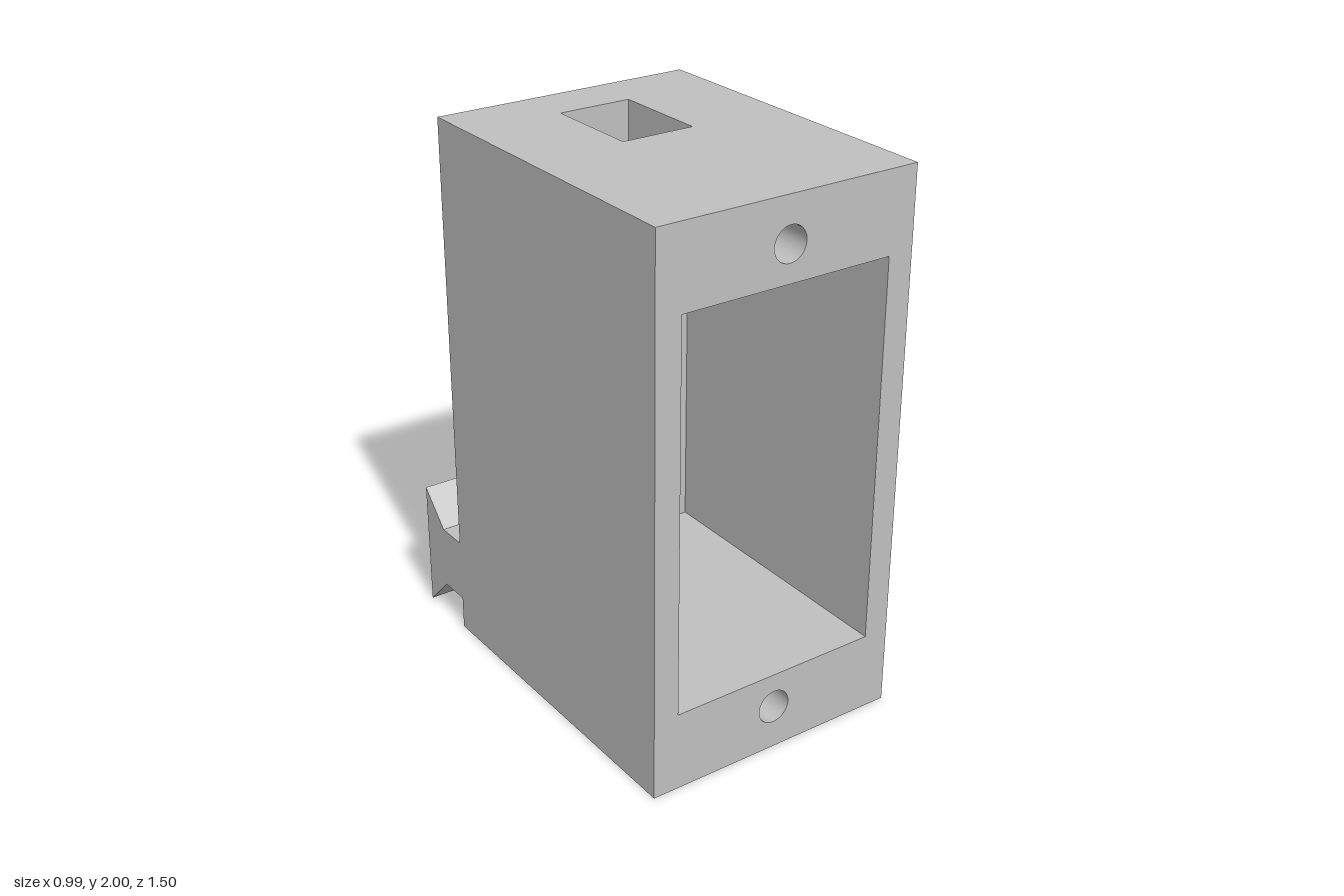
import * as THREE from 'three';

const X = 0.495, TOP = 2, FRONT = 0.75, BACK = -0.505;
const CAV = { x: 0.4, y0: 0.295, y1: 1.71, z0: -0.315 };
const SLOT = { x: 0.137, z0: -0.308, z1: 0.062 };
const SCREW = { r: 0.062, depth: 0.45, ys: [0.165, 1.84] };
const SOCKET = { r: 0.196, y: 1.335, depth: 0.16 };

const rectPoints = (x0, y0, x1, y1) => [[x0, y0], [x1, y0], [x1, y1], [x0, y1]].map(p => new THREE.Vector2(...p));
const rectHole = (...c) => new THREE.Path(rectPoints(...c));
const circleHole = (y, r) => new THREE.Path().absarc(0, y, r, 0, Math.PI * 2, true);

// Flat rectangular wall with holes
function panel(x0, y0, x1, y1, holes) {
  const shape = new THREE.Shape(rectPoints(x0, y0, x1, y1));
  shape.holes.push(...holes);
  return new THREE.ShapeGeometry(shape, 24);
}

// Turns a surface to face inward
function insideOut(g) {
  const index = Array.from(g.index.array);
  for (let i = 0; i < index.length; i += 3) [index[i], index[i + 1]] = [index[i + 1], index[i]];
  g.setIndex(index);
  const n = g.attributes.normal;
  for (let i = 0; i < n.array.length; i++) n.array[i] *= -1;
  return g;
}

// Box keeping only the listed faces (0..5 = +x -x +y -y +z -z)
function openBox(x, y0, y1, z0, z1, faces) {
  const g = new THREE.BoxGeometry(2 * x, y1 - y0, z1 - z0);
  const all = Array.from(g.index.array);
  g.setIndex(faces.flatMap(f => all.slice(f * 6, f * 6 + 6)));
  g.clearGroups();
  return g.translate(0, (y0 + y1) / 2, (z0 + z1) / 2);
}

export function createModel() {
  const model = new THREE.Group();
  model.name = 'mountingHousing';
  const grey = new THREE.MeshStandardMaterial({ color: 0xc0c0c0 });
  grey.name = 'plain grey';
  const add = (name, geometry) => {
    const mesh = new THREE.Mesh(geometry, grey);
    mesh.name = name;
    model.add(mesh);
    return mesh;
  };

  // Outer walls
  add('sidesAndBase', openBox(X, 0, TOP, BACK, FRONT, [0, 1, 3]));
  add('frontFace', panel(-X, 0, X, TOP, [
    rectHole(-CAV.x, CAV.y0, CAV.x, CAV.y1),
    ...SCREW.ys.map(y => circleHole(y, SCREW.r)),
  ]).translate(0, 0, FRONT));
  add('backFace', panel(-X, 0, X, TOP, [circleHole(SOCKET.y, SOCKET.r)])
    .rotateY(Math.PI).translate(0, 0, BACK));
  add('topFace', panel(-X, -FRONT, X, -BACK, [rectHole(-SLOT.x, -SLOT.z1, SLOT.x, -SLOT.z0)])
    .rotateX(-Math.PI / 2).translate(0, TOP, 0));

  // Front cavity, with the cable slot through its ceiling
  add('cavity', insideOut(openBox(CAV.x, CAV.y0, CAV.y1, CAV.z0, FRONT, [0, 1, 3, 5])));
  add('cavityCeiling', panel(-CAV.x, CAV.z0, CAV.x, FRONT, [rectHole(-SLOT.x, SLOT.z0, SLOT.x, SLOT.z1)])
    .rotateX(Math.PI / 2).translate(0, CAV.y1, 0));
  add('topSlot', insideOut(openBox(SLOT.x, CAV.y1, TOP, SLOT.z0, SLOT.z1, [0, 1, 4, 5])));

  // Blind round holes: dir is the way the opening faces
  const bore = (name, r, y, z, depth, dir) => {
    const mid = z - dir * depth / 2;
    add(name, insideOut(new THREE.CylinderGeometry(r, r, depth, 48, 1, true)
      .rotateX(Math.PI / 2).translate(0, y, mid)));
    add(name + 'Floor', new THREE.CircleGeometry(r, 48)
      .rotateY(dir > 0 ? 0 : Math.PI).translate(0, y, z - dir * depth));
  };
  for (const y of SCREW.ys) bore('screwHole', SCREW.r, y, FRONT, SCREW.depth, 1);
  bore('rearSocket', SOCKET.r, SOCKET.y, BACK, SOCKET.depth, -1);

  // Dovetail rail across the back, profile in (-z, y)
  const profile = [[0.505, 0.125], [0.627, 0.125], [0.75, 0], [0.75, 0.49], [0.627, 0.365], [0.505, 0.365]];
  const rail = new THREE.Shape(profile.map(p => new THREE.Vector2(...p)));
  add('dovetailRail', new THREE.ExtrudeGeometry(rail, { depth: 2 * X, bevelEnabled: false })
    .translate(0, 0, -X).rotateY(Math.PI / 2));

  return model;
}
